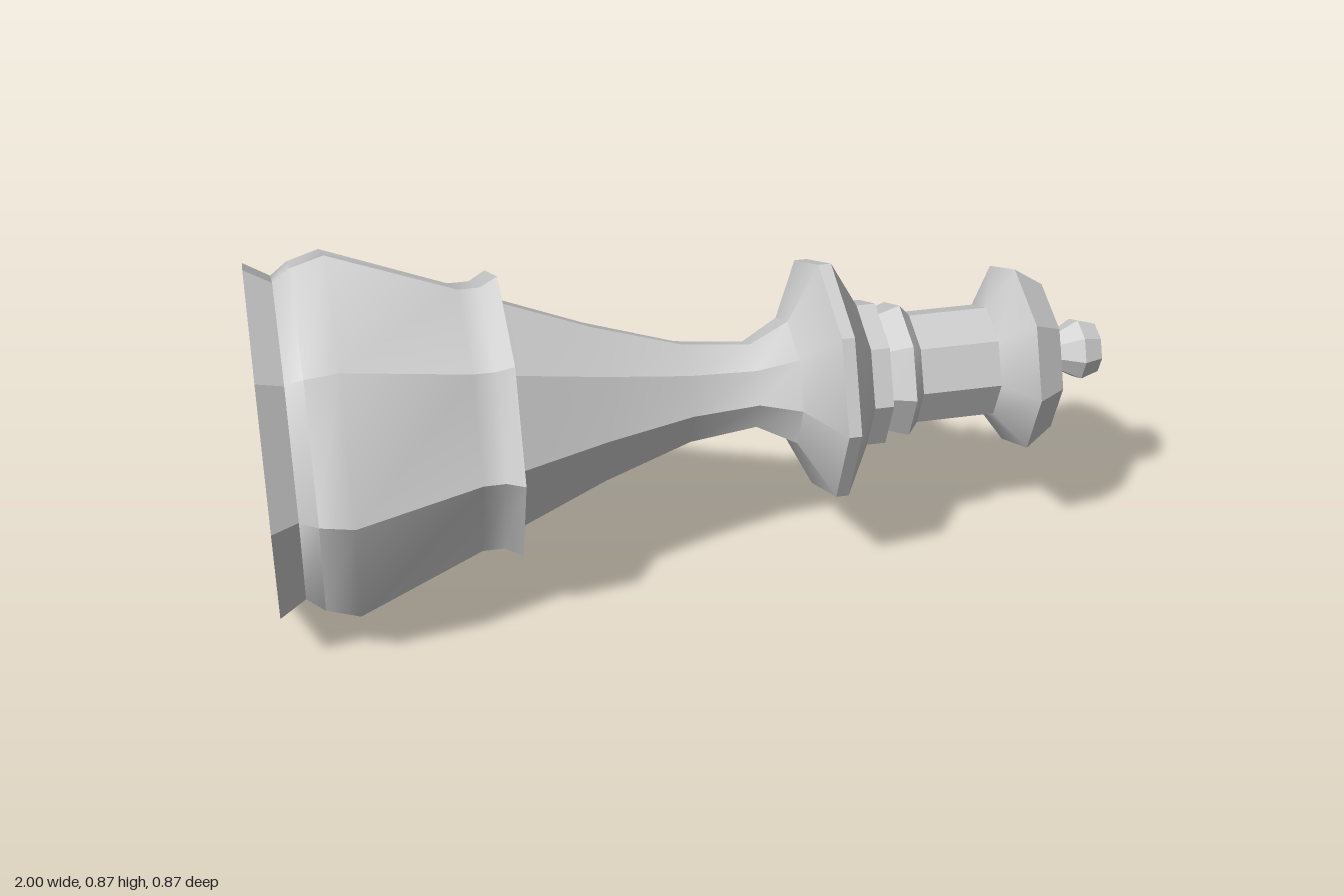
import * as THREE from 'three';
import { toCreasedNormals } from 'three/addons/utils/BufferGeometryUtils.js';

const RADIUS = 0.434; // widest radius, so the piece rests on y = 0

// Each part: [position along x, radius], from the foot to the tip
const PARTS = {
  base: [
    [-1, 0], [-1, 0.417], [-0.94, 0.38], [-0.9, 0.411], [-0.825, RADIUS],
    [-0.54, 0.32], [-0.49, 0.32], [-0.45, 0.343], [-0.45, 0.278],
  ],
  stem: [
    [-0.45, 0.278], [-0.24, 0.192], [-0.03, 0.123], [0.13, 0.105],
    [0.22, 0.155], [0.29, 0.293],
  ],
  collar: [
    [0.29, 0.293], [0.32, 0.293], [0.385, 0.178], [0.43, 0.178], [0.43, 0.146],
  ],
  neck: [
    [0.43, 0.146], [0.49, 0.166], [0.515, 0.137], [0.705, 0.137],
  ],
  crown: [
    [0.705, 0.137], [0.77, 0.23], [0.84, 0.184], [0.84, 0.068],
  ],
  finial: [
    [0.84, 0.068], [0.888, 0.047], [0.94, 0.076], [0.985, 0.062], [1, 0],
  ],
};

export function createModel() {
  const model = new THREE.Group();
  model.name = 'chessPiece';

  const grey = new THREE.MeshStandardMaterial({ color: 0xcccccc });
  grey.name = 'light grey';

  // Eight-sided turned parts laid along the x axis
  for (const [name, profile] of Object.entries(PARTS)) {
    const points = profile.map(([x, r]) => new THREE.Vector2(r, x));
    const lathe = new THREE.LatheGeometry(points, 8);
    lathe.rotateZ(-Math.PI / 2);
    lathe.translate(0, RADIUS, 0);
    const mesh = new THREE.Mesh(toCreasedNormals(lathe, 0.65), grey);
    mesh.name = name;
    model.add(mesh);
  }
  return model;
}
